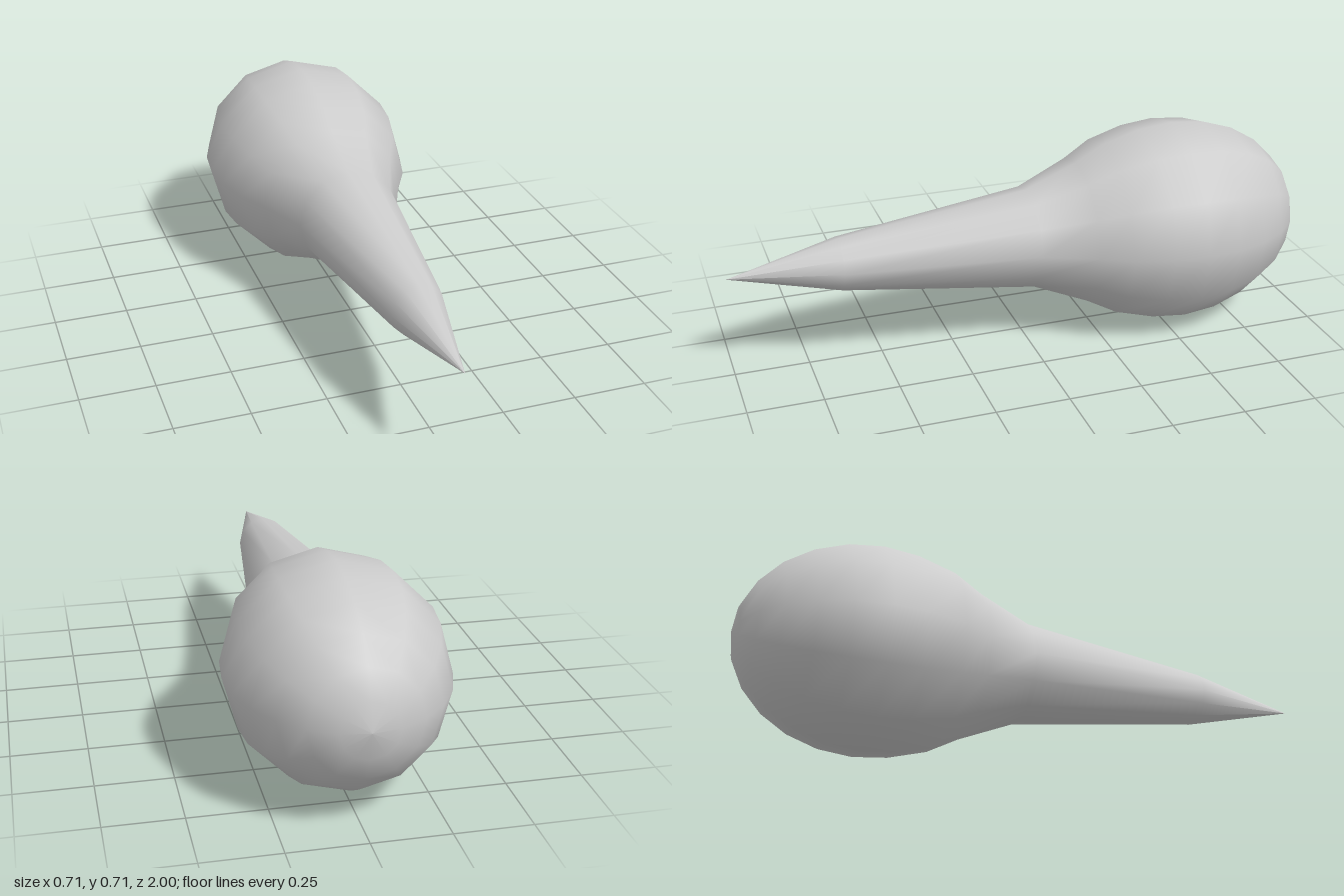
import * as THREE from 'three';

const SIDES = 12;
const RADIUS = 0.353;
const BULB_Z = -0.55; // widest ring of the bulb
const BACK_LENGTH = 0.45;

export function createModel() {
  const group = new THREE.Group();
  group.name = 'taperedBulb';

  // Profile as (radius, distance along z), from the rounded back to the tip
  const profile = [];
  for (let i = 0; i <= 6; i++) {
    const a = (i / 6) * Math.PI / 2;
    profile.push(new THREE.Vector2(RADIUS * Math.sin(a), BULB_Z - BACK_LENGTH * Math.cos(a)));
  }
  // Shoulder, neck and pointed end
  const front = [[0.341, -0.43], [0.305, -0.3], [0.25, -0.2], [0.174, -0.02], [0.09, 0.63], [0, 1]];
  for (const [r, z] of front) profile.push(new THREE.Vector2(r, z));

  const geometry = new THREE.LatheGeometry(profile, SIDES);
  geometry.rotateX(Math.PI / 2); // lay the axis along z, tip forward
  geometry.translate(0, RADIUS, 0);

  const body = new THREE.Mesh(geometry, new THREE.MeshStandardMaterial({ color: 0xcccccc }));
  body.name = 'bulbAndSpike';
  group.add(body);
  return group;
}
